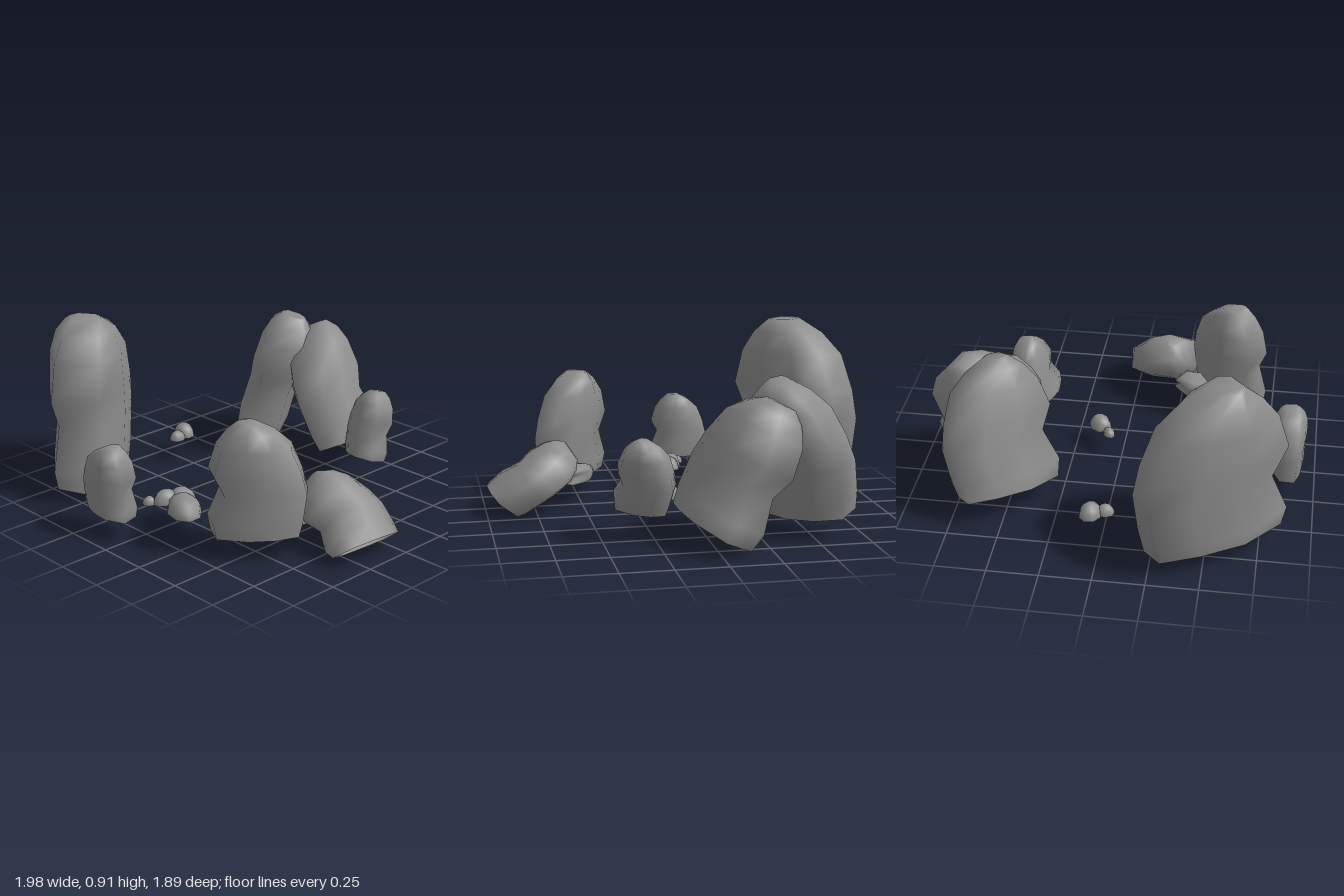
import * as THREE from 'three';

const material = new THREE.MeshStandardMaterial({ color: 0x8c8c8c, side: THREE.DoubleSide });

// Slab cross-sections, from base to crown: height, left edge, right edge, half thickness
const SECTIONS = [
  [0, -0.41, 0.46, 0.43], [0.14, -0.45, 0.49, 0.47], [0.39, -0.49, 0.37, 0.46],
  [0.57, -0.44, 0.47, 0.5], [0.79, -0.34, 0.39, 0.48], [0.92, -0.18, 0.28, 0.39], [1, -0.01, 0.17, 0.24],
];
// Outline of each section, in fractions of its half width and half thickness
const OUTLINE = [
  [1, 0.45], [0.25, 1], [-0.45, 0.88], [-1, 0.55], [-1, -0.45], [-0.5, -0.9], [0.1, -1.05], [0.82, -0.78],
];

// Unit slab, open underneath; cut slants the rim across the thickness
function slabGeometry(cut) {
  const pos = [], idx = [], n = OUTLINE.length, rows = SECTIONS.length;
  SECTIONS.forEach(([y, u0, u1, t], r) => {
    for (const [a, b] of OUTLINE) {
      pos.push((u0 + u1) / 2 + a * (u1 - u0) / 2, r === 0 ? cut * b : y, b * t);
    }
  });
  for (let r = 0; r < rows - 1; r++) {
    for (let i = 0; i < n; i++) {
      const a = r * n + i, b = r * n + (i + 1) % n;
      idx.push(a, a + n, b, b, a + n, b + n);
    }
  }
  // crown cap
  const top = (rows - 1) * n;
  for (let i = 1; i < n - 1; i++) idx.push(top, top + i + 1, top + i);
  const g = new THREE.BufferGeometry();
  g.setAttribute('position', new THREE.Float32BufferAttribute(pos, 3));
  g.setIndex(idx);
  return g;
}

// Standing or leaning stone: base and top centres, direction of its broad side, width, thickness
function stone({ name, base, top, wide, w, t, cut = 0 }) {
  const p = new THREE.Vector3(...base);
  const axis = new THREE.Vector3(...top).sub(p);
  const h = axis.length();
  axis.normalize();
  const u = new THREE.Vector3(wide[0], 0, wide[1]);
  u.addScaledVector(axis, -u.dot(axis)).normalize();
  const v = new THREE.Vector3().crossVectors(u, axis);
  const m = new THREE.Matrix4().makeBasis(u, axis, v).setPosition(p).scale(new THREE.Vector3(w, h, t));
  const g = slabGeometry(cut).applyMatrix4(m);
  g.computeVertexNormals();
  const mesh = new THREE.Mesh(g, material);
  mesh.name = name;
  return mesh;
}

// Low pebble: a coarse dome, open underneath
function pebble([x, z, rx, rz, h, turn]) {
  const g = new THREE.SphereGeometry(1, 8, 4, 0, Math.PI * 2, 0, Math.PI / 2);
  g.scale(rx, h, rz).rotateY(turn).translate(x, 0.11, z);
  const mesh = new THREE.Mesh(g, material);
  mesh.name = 'pebble';
  return mesh;
}

export function createModel() {
  const model = new THREE.Group();
  model.name = 'stoneRing';

  const stones = [
    { name: 'tallSlab', base: [-0.7, 0.07, 0.52], top: [-0.7, 0.91, 0.52], wide: [0.56, 0.83], w: 0.76, t: 0.37, cut: 0.05 },
    { name: 'smallFrontSlab', base: [-0.125, 0.11, 0.86], top: [-0.125, 0.46, 0.865], wide: [1, 0], w: 0.31, t: 0.17 },
    { name: 'frontLeftSlab', base: [0.53, 0.115, 0.52], top: [0.51, 0.66, 0.51], wide: [-0.72, 0.69], w: 0.48, t: 0.24 },
    { name: 'leaningSlabRight', base: [-0.5, 0.12, -0.5], top: [-0.34, 0.76, -0.6], wide: [0.63, 0.77], w: 0.57, t: 0.28 },
    { name: 'leaningSlabLeft', base: [0.02, 0.1, -0.66], top: [-0.29, 0.685, -0.66], wide: [-0.38, -0.92], w: 0.57, t: 0.34 },
    { name: 'smallBackSlab', base: [0.31, 0.15, -0.46], top: [0.29, 0.49, -0.56], wide: [0.93, 0.36], w: 0.3, t: 0.17 },
    { name: 'fallenSlab', base: [0.905, 0.067, 0.165], top: [0.56, 0.3, 0.15], wide: [0.1, 1], w: 0.42, t: 0.24, cut: 0.08 },
    { name: 'lowStone', base: [0.52, 0.11, 0.34], top: [0.52, 0.2, 0.34], wide: [0.55, -0.7], w: 0.27, t: 0.15 },
  ];
  for (const s of stones) model.add(stone(s));

  // x, z, radius across, radius deep, height, turn
  const pebbles = [
    [0.11, 0.6, 0.125, 0.085, 0.09, -0.5], [0.0, 0.52, 0.07, 0.07, 0.07, 0.2],
    [-0.035, 0.59, 0.05, 0.07, 0.07, -0.3], [-0.08, 0.66, 0.033, 0.035, 0.04, 0],
    [0.115, -0.125, 0.065, 0.055, 0.07, 0.7], [0.045, -0.07, 0.04, 0.03, 0.04, 0.5],
    [-0.645, -0.06, 0.065, 0.055, 0.07, -0.3], [-0.62, 0.01, 0.04, 0.045, 0.05, 0.2],
  ];
  for (const p of pebbles) model.add(pebble(p));

  return model;
}
